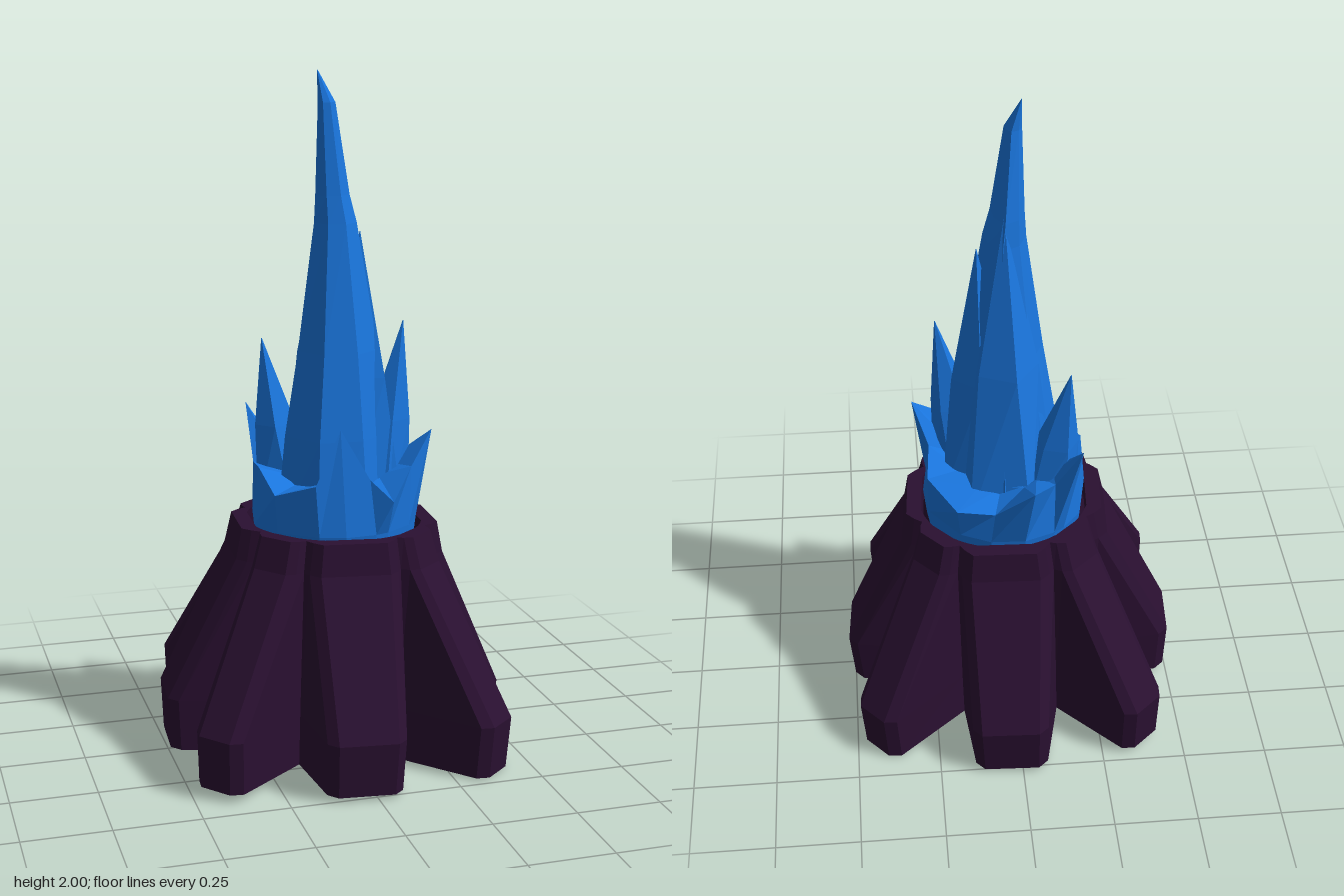
import * as THREE from 'three';

const stone = new THREE.MeshStandardMaterial({ color: 0x2a1031, flatShading: true, side: THREE.DoubleSide });
const flame = new THREE.MeshStandardMaterial({ color: 0x1a76de, flatShading: true, side: THREE.DoubleSide });
const ember = new THREE.MeshStandardMaterial({ color: 0x40dcff, flatShading: true });

// Faceted skin over rings of [x, y, z] points with equal counts
function loft(rings, capped = true) {
  const pos = [];
  const tri = (a, b, c) => pos.push(...a, ...b, ...c);
  const n = rings[0].length;
  for (let r = 0; r < rings.length - 1; r++) {
    const a = rings[r], b = rings[r + 1];
    for (let i = 0; i < n; i++) {
      const j = (i + 1) % n;
      tri(a[i], b[i], a[j]);
      tri(a[j], b[i], b[j]);
    }
  }
  const lo = rings[0], hi = rings[rings.length - 1];
  for (let i = 1; capped && i < n - 1; i++) {
    tri(lo[0], lo[i], lo[i + 1]);
    tri(hi[0], hi[i + 1], hi[i]);
  }
  const g = new THREE.BufferGeometry();
  g.setAttribute('position', new THREE.Float32BufferAttribute(pos, 3));
  g.computeVertexNormals();
  return g;
}

function add(parent, name, geometry, material) {
  const m = new THREE.Mesh(geometry, material);
  m.name = name;
  parent.add(m);
  return m;
}

// Uneven polygon ring
function ring(cx, y, cz, rx, rz, n, turn = 0) {
  return Array.from({ length: n }, (_, i) => {
    const a = turn + (i / n) * Math.PI * 2;
    const k = 1 + 0.08 * Math.sin(i * 2.7 + 1);
    return [cx + Math.cos(a) * rx * k, y, cz + Math.sin(a) * rz * k];
  });
}

// Star outline of the base: eight chamfered arms, wide and narrow in turn, with valleys between.
// wide and narrow are [chamfer, half width, reach along x, reach along z]
function star(y, valley, wide, narrow) {
  const pts = [];
  for (let k = 0; k < 8; k++) {
    const isNarrow = k % 2 === 1;
    const [c, w, rx, rz] = isNarrow ? narrow : wide;
    const ro = k % 4 === 0 ? rx : rz;
    const a = (k * Math.PI) / 4 + 0.066;
    const v = isNarrow ? 0.29 : 0.495;
    const arm = [
      [valley * Math.cos(v), -valley * Math.sin(v)],
      [ro - c, -w], [ro, c - w], [ro, w - c], [ro - c, w],
    ];
    arm.forEach(([p, q]) => pts.push([
      p * Math.cos(a) - q * Math.sin(a), y, p * Math.sin(a) + q * Math.cos(a),
    ]));
  }
  return pts;
}

// Pointed shard from a base centre to a tip
function shard([bx, by, bz], [tx, ty, tz], r, turn) {
  return loft([
    ring(bx, by, bz, r, r, 5, turn),
    ring((bx + tx) / 2, (by + ty) / 2, (bz + tz) / 2, r * 0.62, r * 0.62, 5, turn + 0.15),
    ring(tx, ty, tz, 0.001, 0.001, 5, turn),
  ]);
}

export function createModel() {
  const model = new THREE.Group();

  // Hollow base, open below, with a rim folding inwards, very slightly tilted
  const top = star(0.67, 0.28, [0.025, 0.118, 0.295, 0.295], [0.02, 0.07, 0.305, 0.305]);
  const lip = (y, r) => top.map(([x, , z]) => {
    const s = r / Math.hypot(x, z);
    return [x * s, y, z * s];
  });
  const base = add(model, 'base', loft([
    star(0, 0.306, [0.028, 0.11, 0.497, 0.517], [0.028, 0.078, 0.585, 0.585]),
    star(0.155, 0.306, [0.028, 0.114, 0.507, 0.527], [0.028, 0.08, 0.595, 0.595]),
    star(0.58, 0.3, [0.028, 0.13, 0.312, 0.312], [0.022, 0.076, 0.335, 0.335]),
    top, lip(0.67, 0.262), lip(0.58, 0.262),
  ], false), stone);
  base.rotation.z = -0.025;
  base.position.y = 0.014;

  const fire = new THREE.Group();
  fire.name = 'flame';
  model.add(fire);

  // Glowing plate hidden inside the base
  const plate = add(fire, 'glowingPlate', new THREE.CylinderGeometry(0.09, 0.09, 0.04, 6), ember);
  plate.position.y = 0.36;

  // Jagged crown: wall rising to uneven tips, then folding inwards
  const tips = [
    [-0.05, 0.91, -0.305], [0.06, 0.79, -0.24], [0.17, 0.8, -0.23], [0.25, 0.82, -0.09],
    [0.24, 0.86, 0.02], [0.285, 0.96, 0.11], [0.2, 0.87, 0.18], [0.12, 0.79, 0.265],
    [0.06, 0.85, 0.23], [-0.025, 1.0, 0.215], [-0.1, 0.84, 0.22], [-0.2, 0.8, 0.14],
    [-0.22, 0.86, 0.03], [-0.2, 0.84, -0.12], [-0.195, 1.0, -0.235], [-0.12, 0.86, -0.2],
  ];
  const wall = (y, r) => tips.map(([x, , z]) => {
    const s = r / Math.hypot(x, z);
    return [x * s + 0.012, y, z * s];
  });
  add(fire, 'crown', loft([
    wall(0.6, 0.24), wall(0.69, 0.25), tips,
    tips.map(([x, y, z]) => [x * 0.6, 0.82 + (y - 0.82) * 0.25, z * 0.6]),
  ]), flame);

  // Main spire, levels of [y, left, right, back, front]
  const spire = [
    [0.65, -0.17, 0.19, -0.18, 0.2], [0.95, -0.14, 0.16, -0.14, 0.18],
    [1.2, -0.1, 0.13, -0.095, 0.15], [1.57, -0.05, 0.07, -0.045, 0.1],
    [1.65, -0.045, 0.05, -0.037, 0.088], [1.91, -0.037, 0.012, 0.0, 0.05],
    [2.0, -0.036, -0.034, 0.009, 0.011],
  ];
  add(fire, 'spire', loft(spire.map(([y, l, r, b, f], i) =>
    ring((l + r) / 2, y, (b + f) / 2, (r - l) / 2, (f - b) / 2, 7, 0.3 + i * 0.03))), flame);

  // Shards leaning against the spire
  [
    [[-0.1, 0.7, -0.09], [-0.165, 1.21, -0.145], 0.1, 0.4],
    [[0.12, 0.7, 0.05], [0.21, 1.28, 0.06], 0.1, 0.2],
    [[0.08, 0.7, 0.02], [0.09, 1.54, 0.02], 0.15, 0.8],
    [[0.02, 0.7, -0.05], [0.015, 1.67, -0.03], 0.16, 0.5],
  ].forEach(([b, t, r, turn]) => add(fire, 'shard', shard(b, t, r, turn), flame));

  return model;
}
